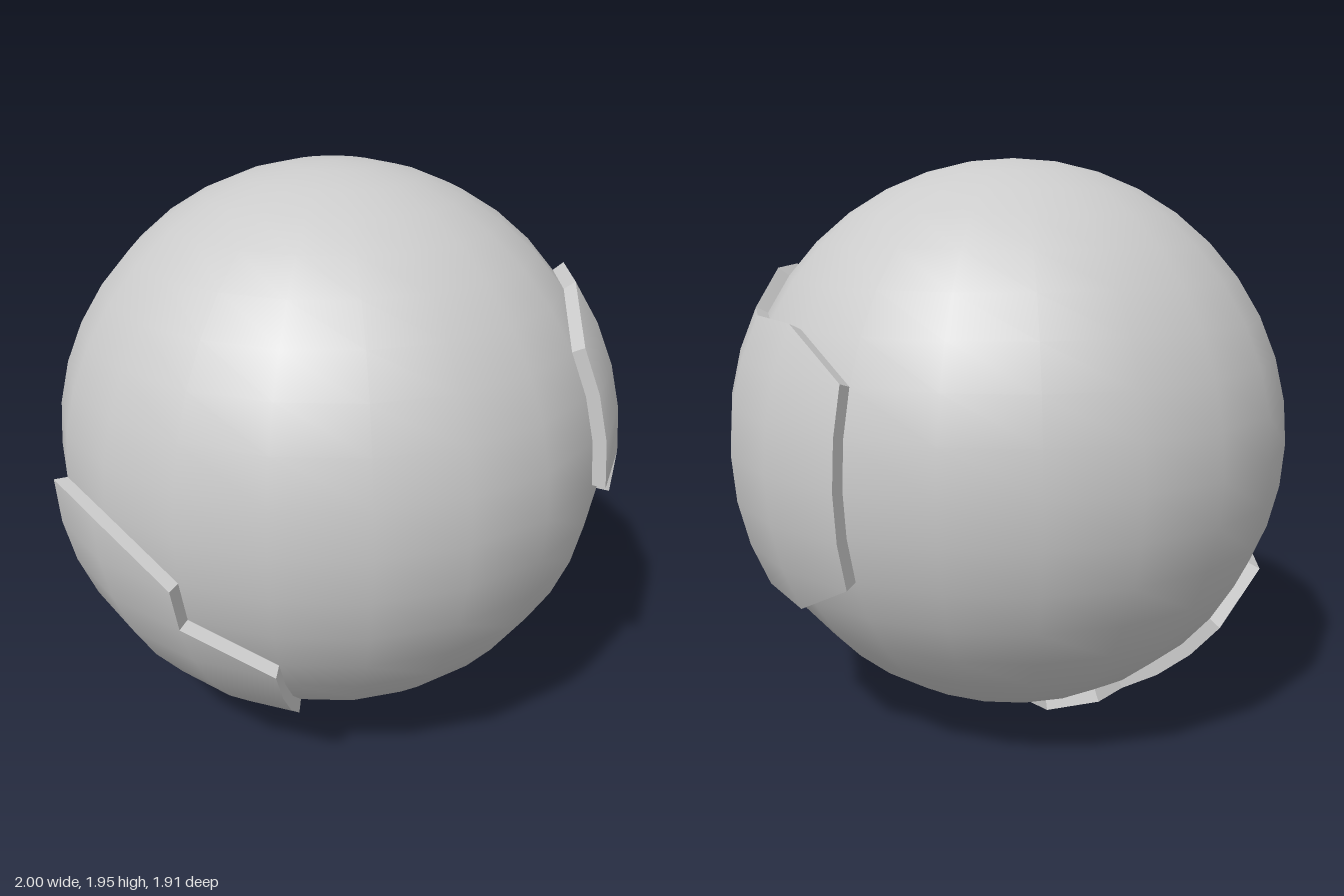
import * as THREE from 'three';
import { mergeGeometries } from 'three/addons/utils/BufferGeometryUtils.js';

const SEGMENTS = 20, RINGS = 20, CORE = 0.955, SHELL = 1;

// Grid point: k counts 18 degree meridians from +z towards +x, j counts 9 degree rings from the equator.
function gridPoint(k, j, radius) {
  const a = k * 2 * Math.PI / SEGMENTS, b = j * Math.PI / RINGS;
  return new THREE.Vector3(Math.sin(a) * Math.cos(b), Math.sin(b), Math.cos(a) * Math.cos(b)).multiplyScalar(radius);
}

function inside(outline, x, y) {
  let hit = false;
  outline.forEach(([x1, y1], i) => {
    const [x2, y2] = outline[(i + 1) % outline.length];
    if ((y1 > y) !== (y2 > y) && x < x1 + (y - y1) * (x2 - x1) / (y2 - y1)) hit = !hit;
  });
  return hit;
}

// Outer skin: whole grid cells, or half cells where the outline cuts diagonally.
function skinGeometry(outline) {
  const pts = [];
  const ks = outline.map(p => p[0]), js = outline.map(p => p[1]);
  for (let k = Math.min(...ks); k < Math.max(...ks); k++) {
    for (let j = Math.min(...js); j < Math.max(...js); j++) {
      // Sides in order bottom, right, top, left; a corner counts if a side next to it does.
      const side = [[0.5, 0.1], [0.9, 0.5], [0.5, 0.9], [0.1, 0.5]].map(([u, v]) => inside(outline, k + u, j + v));
      const corners = [[0, 0], [1, 0], [1, 1], [0, 1]]
        .filter((c, i) => side[i] || side[(i + 3) % 4])
        .map(([u, v]) => gridPoint(k + u, j + v, SHELL));
      for (let i = 2; i < corners.length; i++) pts.push(corners[0], corners[i - 1], corners[i]);
    }
  }
  const geo = new THREE.BufferGeometry().setFromPoints(pts);
  geo.setAttribute('normal', new THREE.Float32BufferAttribute(pts.flatMap(p => p.clone().normalize().toArray()), 3));
  return geo;
}

// Rim wall from the skin down into the ball, one flat quad per grid step.
function rimGeometry(outline) {
  const pts = [];
  outline.forEach(([k1, j1], i) => {
    const [k2, j2] = outline[(i + 1) % outline.length];
    if (Math.abs(j1) === RINGS / 2 && j1 === j2) return; // both ends at the pole
    const steps = Math.max(Math.abs(k2 - k1), Math.abs(j2 - j1));
    const at = (s, r) => gridPoint(k1 + (k2 - k1) * s / steps, j1 + (j2 - j1) * s / steps, r);
    for (let s = 0; s < steps; s++) {
      const a = at(s, SHELL), b = at(s + 1, SHELL), c = at(s + 1, CORE - 0.005), d = at(s, CORE - 0.005);
      pts.push(a, b, c, a, c, d);
    }
  });
  const geo = new THREE.BufferGeometry().setFromPoints(pts);
  geo.computeVertexNormals();
  return geo;
}

export function createModel() {
  const group = new THREE.Group();
  const material = new THREE.MeshStandardMaterial({ color: 0xcccccc });
  const add = (name, geometry) => {
    const mesh = new THREE.Mesh(geometry, material);
    mesh.name = name;
    mesh.position.y = 1;
    group.add(mesh);
  };

  add('ball', new THREE.SphereGeometry(CORE, SEGMENTS, RINGS));

  // Raised plates, outlined clockwise as seen from outside.
  const plates = {
    leftPlate: [[1, 0], [1, 3], [2, 4], [3, 4], [3, 3], [5, 3], [6, 2], [6, -2], [5, -3], [4, -3],
      [3, -2], [3, -1], [2, -1], [2, 0]],
    lowerRightPlate: [[-5, 0], [-4, -1], [-4, -2], [-3, -3], [-3, -6], [-4, -7], [-7, -7], [-8, -8],
      [-8, -10], [-11, -10], [-11, -8], [-10, -7], [-9, -7], [-9, -4], [-8, -3], [-7, -3], [-7, -1], [-6, 0]],
  };
  for (const [name, outline] of Object.entries(plates)) {
    add(name, mergeGeometries([skinGeometry(outline), rimGeometry(outline)]));
  }
  return group;
}
